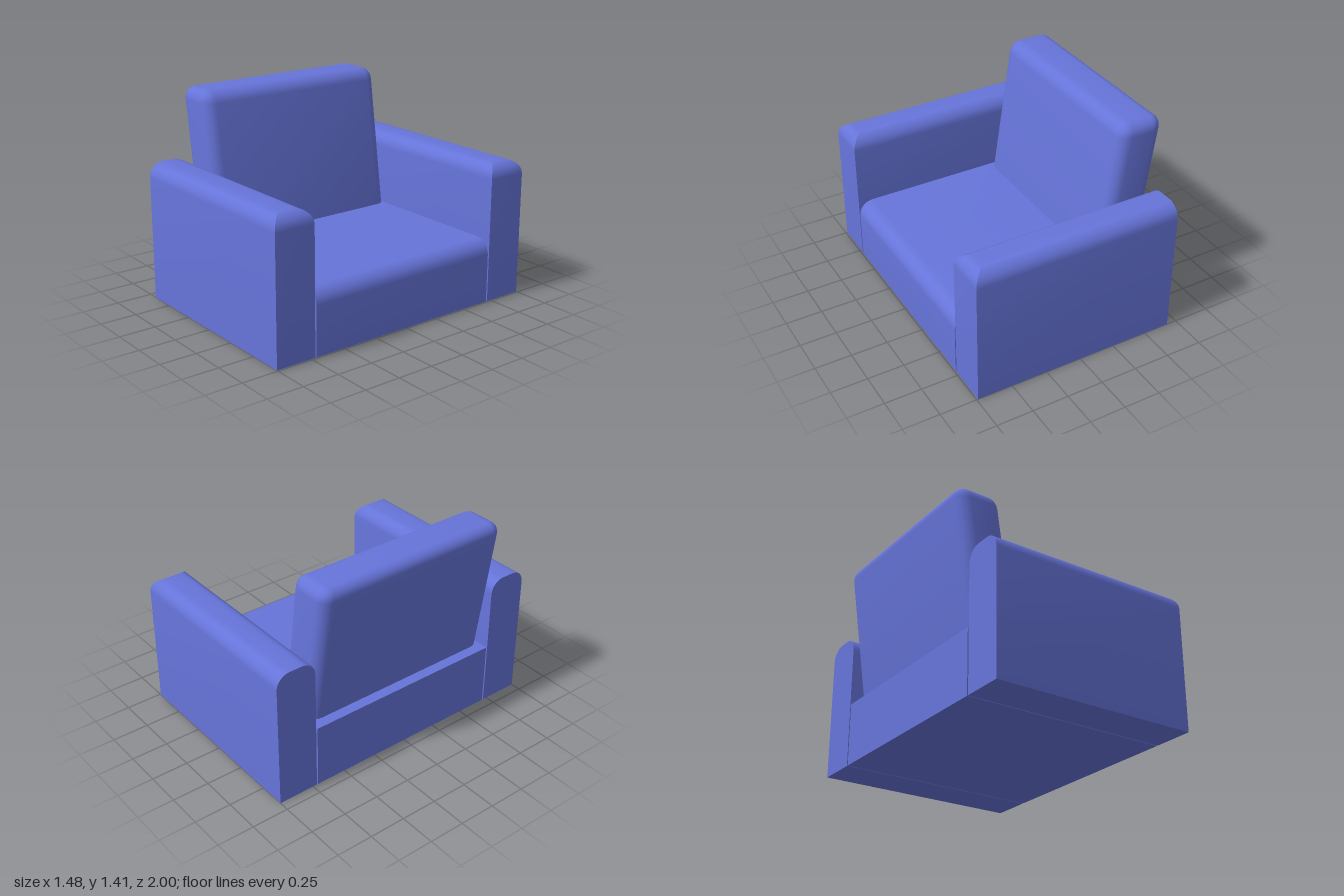
import * as THREE from 'three';
import { toCreasedNormals } from 'three/addons/utils/BufferGeometryUtils.js';

const STEPS = 6;

// Block built from stacked horizontal outlines. Its top edges are rounded by r on the
// chosen ends (back = -x, front = +x, sides = +-z); corner rounds the upright edges;
// lean slides each level toward -x with height.
function cushion({ x0, x1, z0, z1, y0, y1, r, back = 0, front = 0, sides = 0, corner = 0, lean = 0 }) {
  const levels = [[y0, 0]];
  for (let i = 0; i <= STEPS; i++) {
    const a = (i / STEPS) * Math.PI / 2;
    levels.push([y1 - r + r * Math.sin(a), r * (1 - Math.cos(a))]);
  }

  const outline = ([y, inset]) => {
    const l = x0 + inset * back, f = x1 - inset * front;
    const n = z0 + inset * sides, p = z1 - inset * sides;
    const c = corner ? corner - inset : 0;
    const centres = [[f - c, n + c], [l + c, n + c], [l + c, p - c], [f - c, p - c]];
    const points = [];
    centres.forEach(([x, z], q) => {
      const count = corner ? STEPS : 0;
      for (let i = 0; i <= count; i++) {
        const a = (q + (count ? i / count : 0)) * Math.PI / 2;
        points.push(new THREE.Vector3(x + c * Math.cos(a) - lean * (y - y0), y, z - c * Math.sin(a)));
      }
    });
    return points;
  };

  const loops = levels.map(outline);
  const n = loops[0].length;
  const positions = [];
  const tri = (...pts) => pts.forEach((v) => positions.push(v.x, v.y, v.z));
  const middle = (loop) => loop.reduce((s, v) => s.add(v), new THREE.Vector3()).divideScalar(n);
  const bottom = loops[0], top = loops[loops.length - 1];
  const bottomMid = middle(bottom), topMid = middle(top);
  for (let i = 0; i < n; i++) {
    const j = (i + 1) % n;
    for (let k = 0; k < loops.length - 1; k++) {
      const a = loops[k], b = loops[k + 1];
      tri(a[i], a[j], b[j]);
      tri(a[i], b[j], b[i]);
    }
    tri(topMid, top[i], top[j]);
    tri(bottomMid, bottom[j], bottom[i]);
  }
  const geometry = new THREE.BufferGeometry();
  geometry.setAttribute('position', new THREE.Float32BufferAttribute(positions, 3));
  return toCreasedNormals(geometry, Math.PI / 6);
}

export function createModel() {
  const chair = new THREE.Group();
  chair.name = 'armchair';
  const fabric = new THREE.MeshStandardMaterial({ color: 0x6674d9 });
  const add = (name, spec) => {
    const mesh = new THREE.Mesh(cushion(spec), fabric);
    mesh.name = name;
    chair.add(mesh);
  };

  // Seat block, rounded only along its front edge
  add('seat', { x0: -0.68, x1: 0.74, z0: -0.71, z1: 0.71, y0: 0, y1: 0.433, r: 0.1, front: 1 });

  // Armrests, rounded along both sides and the front, square at the back
  const arm = { x0: -0.68, x1: 0.74, y0: 0, y1: 0.94, r: 0.095, front: 1, sides: 1 };
  add('armrestFront', { ...arm, z0: 0.72, z1: 1 });
  add('armrestBack', { ...arm, z0: -1, z1: -0.72 });

  // Leaning backrest cushion, rounded all over except underneath
  add('backrest', {
    x0: -0.615, x1: -0.3, z0: -0.706, z1: 0.706, y0: 0.44, y1: 1.41,
    r: 0.08, back: 1, front: 1, sides: 1, corner: 0.082, lean: 0.145,
  });

  return chair;
}
